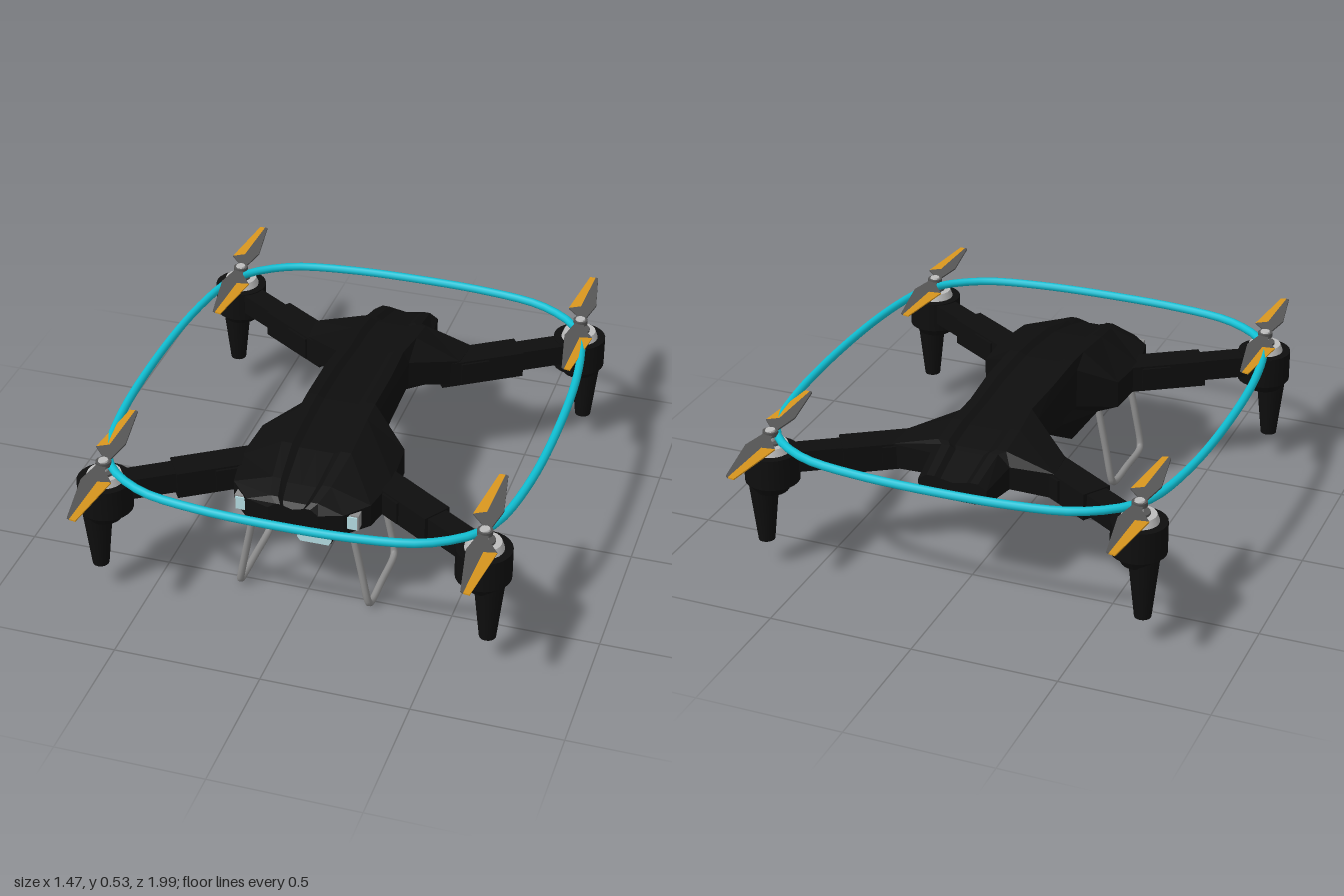
import * as THREE from 'three';

const paint = (name, color, side = THREE.FrontSide) => {
  const m = new THREE.MeshStandardMaterial({ color, side });
  m.name = name;
  return m;
};

// Closed flat-shaded hull through equal-length rings, ordered front to back
function loft(rings) {
  const n = rings[0].length, idx = [];
  for (let i = 0; i < rings.length - 1; i++) {
    for (let j = 0; j < n; j++) {
      const a = i * n + j, b = i * n + (j + 1) % n;
      idx.push(a, b, a + n, b, b + n, a + n);
    }
  }
  const last = (rings.length - 1) * n;
  for (let j = 1; j < n - 1; j++) idx.push(0, j + 1, j, last, last + j, last + j + 1);
  const g = new THREE.BufferGeometry();
  g.setAttribute('position', new THREE.Float32BufferAttribute(rings.flat(2), 3));
  g.setIndex(idx);
  const flat = g.toNonIndexed();
  flat.computeVertexNormals();
  return flat;
}

// Hull section: grooved top, shoulder, lower shoulder, keel
function section([z, wt, yt, ws, ys, wl, yl, wb, yb]) {
  const half = [
    [wt * 0.5, yt - 0.012], [wt * 0.7, yt], [wt, yt], [ws, ys], [wl, yl],
    [Math.max(wb, wl * 0.7), yl - 0.2 * (yl - yb)], [wb, yb],
  ];
  const mirrored = half.map(([x, y]) => [-x, y]).reverse();
  return [[0, yt - 0.012], ...half, ...mirrored].map(([x, y]) => [x, y, z]);
}

export function createModel() {
  const root = new THREE.Group();
  const black = paint('matte black', 0x0e0e0e);
  const cyan = paint('cyan', 0x10c0d4);
  const orange = paint('orange', 0xd8961e, THREE.DoubleSide);
  const bladeGrey = paint('blade grey', 0x555555, THREE.DoubleSide);
  const silver = paint('silver', 0xbcbcbc);
  const legGrey = paint('leg grey', 0x8e8e8e);
  const glass = paint('pale blue glass', 0xb4dce2);

  const add = (parent, name, geo, mat, x = 0, y = 0, z = 0) => {
    const m = new THREE.Mesh(geo, mat);
    m.name = name;
    m.position.set(x, y, z);
    parent.add(m);
    return m;
  };
  const cyl = (rt, rb, y0, y1, sides = 24) =>
    new THREE.CylinderGeometry(rt, rb, y1 - y0, sides).translate(0, (y0 + y1) / 2, 0);

  // Fuselage: z, top w/y, shoulder w/y, lower shoulder w/y, keel w/y
  const stations = [
    [0.65, 0.06, 0.44, 0.085, 0.42, 0.085, 0.36, 0.06, 0.34],
    [0.63, 0.08, 0.455, 0.165, 0.425, 0.165, 0.35, 0.08, 0.325],
    [0.555, 0.1, 0.475, 0.235, 0.43, 0.235, 0.35, 0.12, 0.305],
    [0.4, 0.12, 0.51, 0.262, 0.43, 0.262, 0.34, 0.1, 0.255],
    [0.22, 0.12, 0.53, 0.25, 0.435, 0.25, 0.34, 0.08, 0.18],
    [0.13, 0.12, 0.535, 0.13, 0.5, 0.13, 0.36, 0.08, 0.28],
    [-0.07, 0.12, 0.53, 0.13, 0.49, 0.13, 0.38, 0.1, 0.34],
    [-0.24, 0.11, 0.52, 0.13, 0.48, 0.13, 0.39, 0.09, 0.355],
    [-0.37, 0.12, 0.505, 0.28, 0.437, 0.28, 0.34, 0.12, 0.32],
    [-0.49, 0.12, 0.485, 0.29, 0.434, 0.29, 0.345, 0.1, 0.355],
    [-0.51, 0.1, 0.48, 0.14, 0.44, 0.14, 0.36, 0.1, 0.36],
    [-0.655, 0.09, 0.44, 0.12, 0.42, 0.12, 0.37, 0.08, 0.365],
  ];
  add(root, 'fuselage', loft(stations.map(section)), black);

  // Gimbal camera under the nose
  add(root, 'gimbalMount', new THREE.BoxGeometry(0.13, 0.08, 0.16), black, 0, 0.232, 0.31);
  add(root, 'cameraBody', new THREE.BoxGeometry(0.115, 0.075, 0.11), black, 0, 0.185, 0.37);
  const lens = new THREE.Shape([
    [-0.045, 0.04], [0.045, 0.04], [0.06, 0.025], [0.06, -0.025],
    [0.05, -0.04], [-0.05, -0.04], [-0.06, -0.025], [-0.06, 0.025],
  ].map(([x, y]) => new THREE.Vector2(x, y)));
  add(root, 'cameraLens', new THREE.ExtrudeGeometry(lens, { depth: 0.009, bevelEnabled: false }),
    glass, 0, 0.185, 0.425);

  // Propeller blade outlines; y runs toward the tip
  const plate = (pts) => new THREE.ExtrudeGeometry(
    new THREE.Shape(pts.map(([x, y]) => new THREE.Vector2(x, y))),
    { depth: 0.005, bevelEnabled: false }).rotateX(-Math.PI / 2);
  const orangeBlade = plate([[-0.063, 0.09], [-0.021, 0.106], [-0.016, 0.325], [-0.037, 0.325]]);
  const greyBlade = plate([[-0.016, 0.325], [-0.021, 0.106], [-0.063, 0.09], [-0.021, 0.04],
    [-0.012, 0], [0.012, 0], [0.032, 0.116], [-0.006, 0.32]]);

  for (const sx of [1, -1]) {
    // Front sensors
    const sensor = new THREE.Group();
    sensor.name = 'frontSensor';
    sensor.position.set(sx * 0.19, 0.393, 0.595);
    add(sensor, 'sensorFrame', new THREE.BoxGeometry(0.042, 0.056, 0.04), legGrey);
    add(sensor, 'sensorGlass', new THREE.BoxGeometry(0.034, 0.046, 0.006), glass, 0, 0, 0.022);
    root.add(sensor);

    // Landing skid: one bent rod leaning outward
    const rod = [[0.17, 0.31, 0.55], [0.2, 0.16, 0.55], [0.222, 0.045, 0.55], [0.226, 0.023, 0.542],
      [0.228, 0.015, 0.52], [0.228, 0.015, 0.4], [0.228, 0.015, 0.27], [0.226, 0.023, 0.248],
      [0.222, 0.045, 0.24], [0.2, 0.16, 0.24], [0.17, 0.31, 0.24]];
    const path = new THREE.CatmullRomCurve3(rod.map(([x, y, z]) => new THREE.Vector3(sx * x, y, z)));
    add(root, 'landingSkid', new THREE.TubeGeometry(path, 64, 0.0125, 10), legGrey);

    for (const sz of [1, -1]) {
      // Folding arm in two steps, from hull to motor
      const from = new THREE.Vector2(sx * 0.2, sz * 0.375);
      const to = new THREE.Vector2(sx * 0.64, sz * 0.66);
      const arm = new THREE.Group();
      arm.name = 'arm';
      arm.position.set(from.x, 0, from.y);
      const d = to.clone().sub(from);
      arm.rotation.y = Math.atan2(-d.y, d.x);
      add(arm, 'innerArm', new THREE.BoxGeometry(0.3, 0.094, 0.105), black, 0.15, 0.387, 0);
      add(arm, 'armHinge', new THREE.BoxGeometry(0.1, 0.08, 0.12), black, 0.12, 0.387, 0);
      add(arm, 'outerArm', new THREE.BoxGeometry(0.25, 0.074, 0.078), black, 0.38, 0.392, 0);
      root.add(arm);

      // Motor pod with its tapered foot
      const motor = new THREE.Group();
      motor.name = 'motor';
      motor.position.set(sx * 0.643, 0, sz * 0.67);
      add(motor, 'motorPod', cyl(0.092, 0.092, 0.325, 0.433), black);
      add(motor, 'podBase', cyl(0.08, 0.06, 0.29, 0.325), black, sx * 0.005, 0, sz * 0.005);
      add(motor, 'foot', cyl(0.052, 0.028, 0.1, 0.32, 16), black, sx * 0.025, 0, sz * 0.018);
      add(motor, 'motorCap', cyl(0.056, 0.065, 0.433, 0.458), silver);
      add(motor, 'motorCollar', cyl(0.035, 0.035, 0.458, 0.466), bladeGrey);
      add(motor, 'shaft', cyl(0.014, 0.014, 0.46, 0.49, 12), silver);
      add(motor, 'propellerHub', cyl(0.026, 0.026, 0.486, 0.502, 16), bladeGrey);
      add(motor, 'hubScrew', cyl(0.016, 0.018, 0.502, 0.507, 12), silver);

      // Two blades, half a turn apart
      for (const turn of [0, Math.PI]) {
        const blade = new THREE.Group();
        blade.name = 'propellerBlade';
        blade.position.y = 0.491;
        blade.rotation.set(0, turn, 0.12);
        add(blade, 'bladeRoot', greyBlade, bladeGrey);
        add(blade, 'bladeStripe', orangeBlade, orange);
        motor.add(blade);
      }
      root.add(motor);
    }
  }

  // Guard ring: one quarter mirrored into a closed loop
  const q = [[0, 0.815], [0.26, 0.805], [0.46, 0.77], [0.575, 0.705], [0.632, 0.645],
    [0.67, 0.565], [0.708, 0.34], [0.722, 0]];
  const back = q.slice(0, -1).reverse().map(([x, z]) => [x, -z]);
  const side = [...q, ...back];
  const loop = [...side, ...side.slice(1, -1).reverse().map(([x, z]) => [-x, z])];
  const ring = new THREE.CatmullRomCurve3(
    loop.map(([x, z]) => new THREE.Vector3(x, 0.478, z)), true, 'centripetal');
  add(root, 'guardRing', new THREE.TubeGeometry(ring, 96, 0.0145, 10, true), cyan);

  return root;
}
